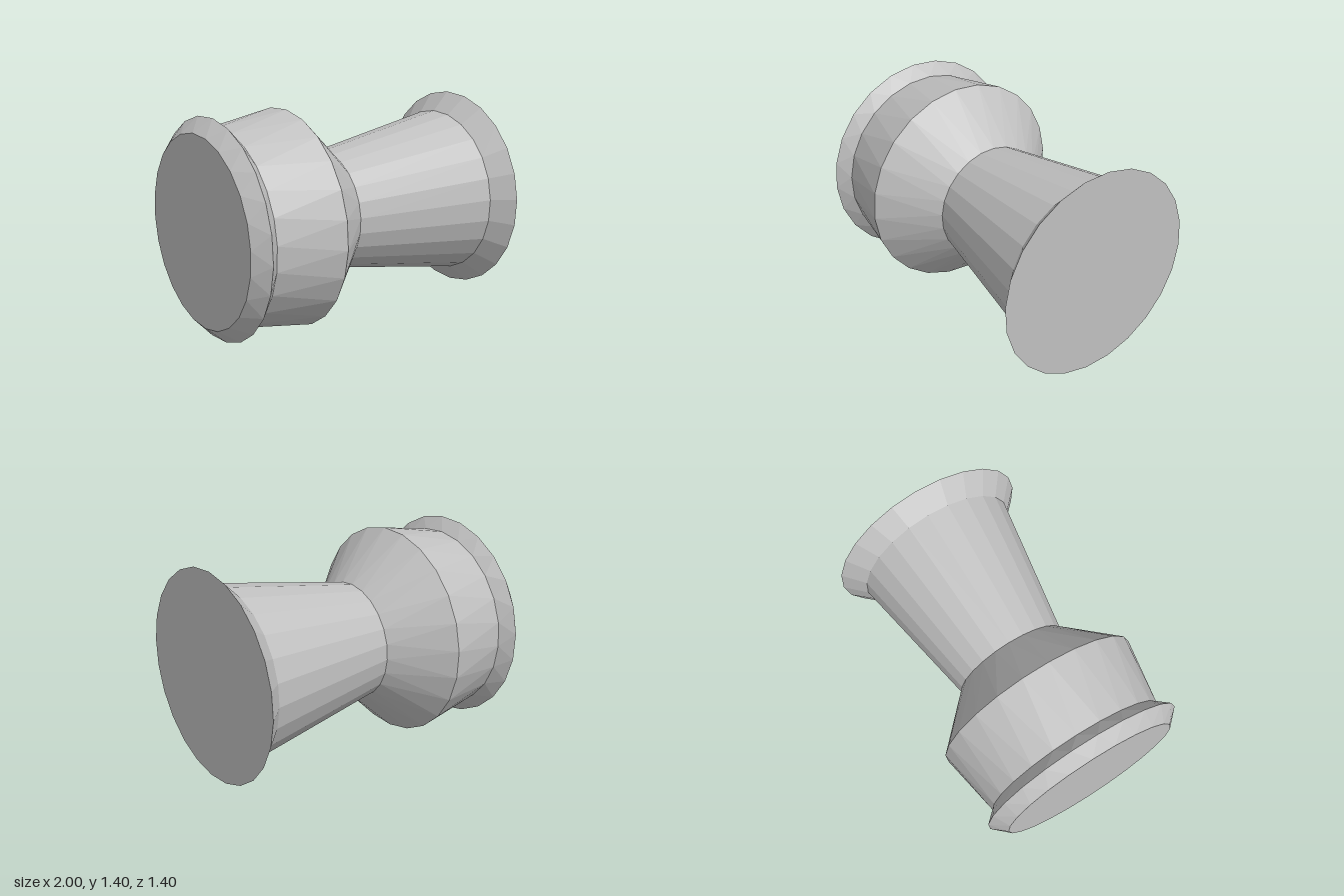
import * as THREE from 'three';

const SIDES = 24;
const STEP = (Math.PI * 2) / SIDES;
const AXIS_Y = 0.7;

// Rings along the x axis: [x, radius, turn in steps]
const RINGS = [
  [-1, 0.607, -0.25],
  [-0.91, 0.7, 0.25],
  [-0.833, 0.62, -0.25],
  [-0.395, 0.7, 0.25],
  [-0.07, 0.386, -0.25],
  [0.875, 0.555, -0.25],
  [1, 0.677, -0.25],
];

function point([x, r, turn], j) {
  const a = (j + turn) * STEP;
  return [x, AXIS_Y + r * Math.cos(a), r * Math.sin(a)];
}

// Faceted band joining neighbouring rings, split along the shorter diagonal
function band(first, last) {
  const out = [];
  for (let i = first; i < last; i++) {
    const p = RINGS[i], q = RINGS[i + 1];
    for (let j = 0; j < SIDES; j++) {
      const a = point(p, j), b = point(q, j), c = point(q, j + 1), d = point(p, j + 1);
      if (p[2] > q[2]) out.push(...a, ...d, ...c, ...a, ...c, ...b);
      else out.push(...a, ...d, ...b, ...d, ...c, ...b);
    }
  }
  return out;
}

// Flat disc closing one end; facing is +1 for +x and -1 for -x
function cap(ring, facing) {
  const out = [];
  for (let j = 0; j < SIDES; j++) {
    const a = point(ring, j), b = point(ring, j + 1);
    out.push(ring[0], AXIS_Y, 0, ...(facing > 0 ? [...a, ...b] : [...b, ...a]));
  }
  return out;
}

export function createModel() {
  const group = new THREE.Group();
  group.name = 'flaredSpool';
  const grey = new THREE.MeshStandardMaterial({ color: 0xc0c0c0, flatShading: true });
  grey.name = 'grey';

  const add = (name, positions) => {
    const geometry = new THREE.BufferGeometry();
    geometry.setAttribute('position', new THREE.Float32BufferAttribute(positions, 3));
    geometry.computeVertexNormals();
    const mesh = new THREE.Mesh(geometry, grey);
    mesh.name = name;
    group.add(mesh);
  };

  add('baseCap', cap(RINGS[0], -1));
  add('baseRim', band(0, 2));
  add('barrel', band(2, 3));
  add('shoulder', band(3, 4));
  add('neck', band(4, 5));
  add('flare', band(5, 6));
  add('flareCap', cap(RINGS[6], 1));
  return group;
}
